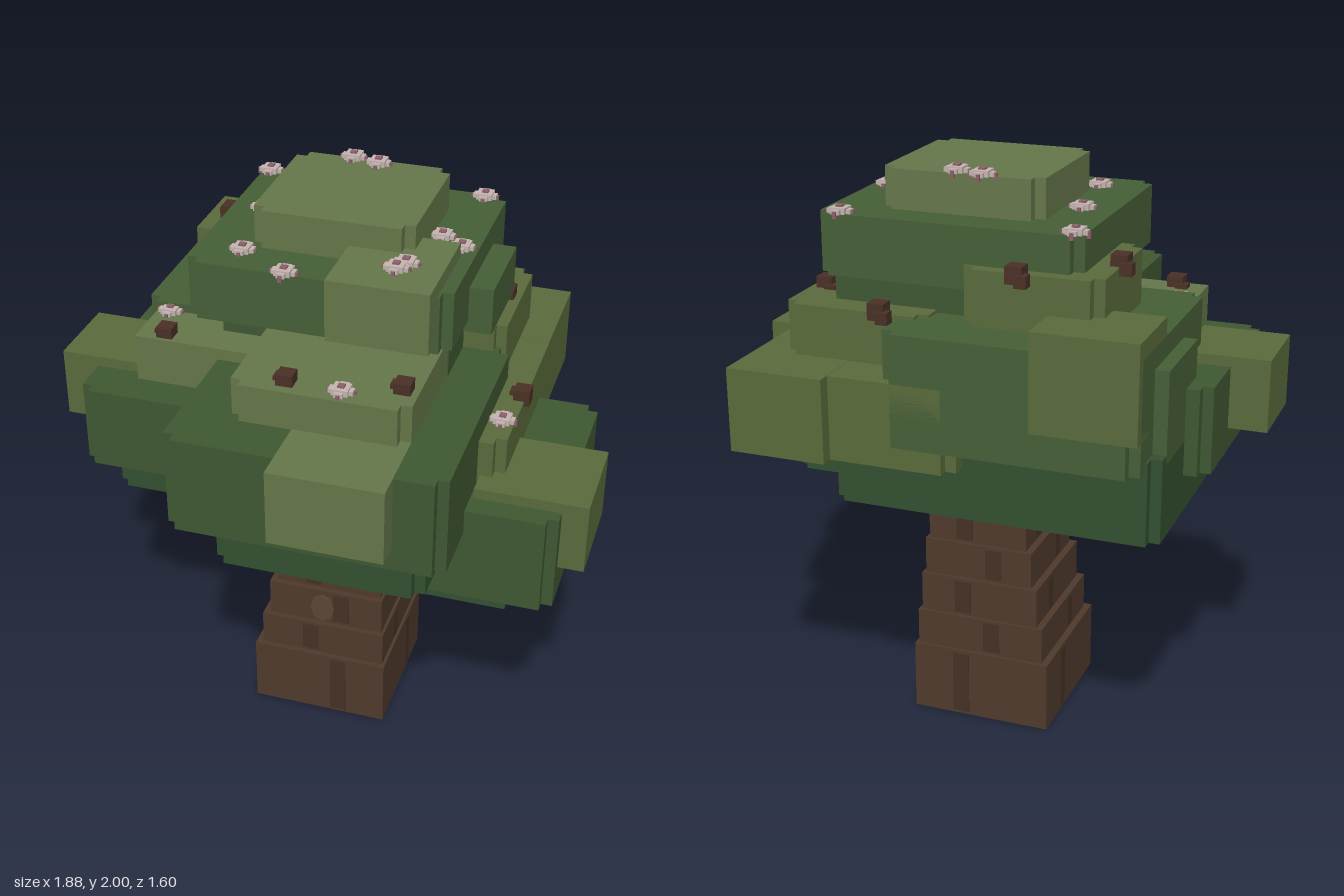
import * as THREE from 'three';

const mats = {};
const mat = (c) => (mats[c] ??= new THREE.MeshStandardMaterial({ color: c, flatShading: true }));

const LIGHT = 0x66774a, OLIVE = 0x5a6b3c, GREEN = 0x465f37, MID = 0x3f5832, DARK = 0x33502f;
const BARK = 0x4f3a2b, BARK_DARK = 0x443125, TWIG = 0x4a3026, PETAL = 0xc4b4b0, HEART = 0x8e5f6a;
const NOTCH = 0.036;

function addMesh(parent, name, color, geo, x, y, z) {
  const mesh = new THREE.Mesh(geo, mat(color));
  mesh.name = name;
  mesh.position.set(x, y, z);
  parent.add(mesh);
  return mesh;
}

// Plain block between two limits on each axis
function block(parent, name, color, x0, x1, y0, y1, z0, z1) {
  const geo = new THREE.BoxGeometry(x1 - x0, y1 - y0, z1 - z0);
  return addMesh(parent, name, color, geo, (x0 + x1) / 2, (y0 + y1) / 2, (z0 + z1) / 2);
}

// Leaf mass: a block whose four upright corners step inwards
function mass(parent, name, color, x0, x1, y0, y1, z0, z1) {
  const w = (x1 - x0) / 2, d = (z1 - z0) / 2;
  const shape = new THREE.Shape();
  for (const [sx, sz] of [[1, -1], [1, 1], [-1, 1], [-1, -1]]) {
    const corner = [[w - NOTCH, d], [w - NOTCH, d - NOTCH], [w, d - NOTCH]];
    if (sx === sz) corner.reverse();
    corner.forEach(([x, z], i) => {
      if (sx === 1 && sz === -1 && i === 0) shape.moveTo(x * sx, z * sz);
      else shape.lineTo(x * sx, z * sz);
    });
  }
  const geo = new THREE.ExtrudeGeometry(shape, { depth: y1 - y0, bevelEnabled: false });
  geo.rotateX(-Math.PI / 2);
  return addMesh(parent, name, color, geo, (x0 + x1) / 2, y0, (z0 + z1) / 2);
}

function group(parent, name) {
  const g = new THREE.Group();
  g.name = name;
  parent.add(g);
  return g;
}

// Trunk of shrinking tiers, with darker bark strips, limb stubs and a knot
function addTrunk(model) {
  const g = group(model, 'trunk');
  const levels = [0, 0.25, 0.38, 0.52, 0.65, 0.89];
  for (let i = 0; i < 5; i++) {
    const x0 = -0.27 + 0.024 * i, x1 = 0.225 - 0.011 * i;
    const z0 = -0.335 + 0.012 * i, z1 = 0.165 - 0.02 * i;
    const y0 = levels[i], y1 = levels[i + 1], e = 0.002;
    block(g, 'trunkTier', BARK, x0, x1, y0, y1, z0, z1);
    const sx = i % 2 ? -0.09 : 0.02, sz = i % 2 ? -0.05 : -0.19;
    block(g, 'barkStrip', BARK_DARK, sx, sx + 0.06, y0 + 0.01, y1 - 0.01, z0 - e, z1 + e);
    block(g, 'barkStrip', BARK_DARK, x0 - e, x1 + e, y0 + 0.01, y1 - 0.01, sz, sz + 0.05);
  }
  block(g, 'trunkTop', BARK, -0.1, 0.16, 0.89, 1, -0.26, 0.06);
  block(g, 'leftLimb', BARK, 0.15, 0.225, 0.76, 0.86, -0.1, 0.04);
  block(g, 'rightLimb', BARK, -0.25, -0.1, 0.86, 1, -0.12, 0);

  const knotGeo = new THREE.CylinderGeometry(0.045, 0.045, 0.02, 8);
  knotGeo.rotateX(Math.PI / 2).scale(1, 1.3, 1);
  addMesh(g, 'knot', 0x5c4635, knotGeo, -0.02, 0.445, 0.122);
}

function addLowerLeaves(foliage) {
  const g = group(foliage, 'lowerLeaves');
  mass(g, 'lowestMass', DARK, 0.105, 0.73, 0.8, 1, -0.2, 0.38);
  mass(g, 'undersideBack', DARK, -0.735, 0.35, 0.925, 1.2, -0.67, 0.25);
  mass(g, 'undersideFront', DARK, -0.23, 0.475, 0.965, 1.2, -0.05, 0.625);
  mass(g, 'leftMass', MID, 0.1, 0.855, 0.885, 1.22, -0.29, 0.46);
  block(g, 'leftLobe', OLIVE, 0.57, 0.94, 1.01, 1.255, 0.04, 0.38);
  mass(g, 'rightMass', MID, -0.815, -0.1, 1.055, 1.345, -0.38, 0.33);
  block(g, 'rightLobe', OLIVE, -0.945, -0.64, 1.135, 1.38, -0.13, 0.165);
}

function addMiddleLeaves(foliage) {
  const g = group(foliage, 'middleLeaves');
  mass(g, 'backLeftMass', OLIVE, -0.1, 0.645, 1.1, 1.38, -0.755, 0.3);
  block(g, 'backLeftLobe', OLIVE, 0.315, 0.645, 1.1, 1.381, -0.8, -0.4);
  mass(g, 'backMass', GREEN, -0.69, 0.14, 1.17, 1.54, -0.755, 0);
  block(g, 'backRightLobe', OLIVE, -0.69, -0.35, 1.28, 1.6, -0.757, -0.47);
  block(g, 'backRightSide', GREEN, -0.735, -0.5, 1.17, 1.47, -0.59, -0.26);
  mass(g, 'frontMass', MID, -0.355, 0.56, 1.135, 1.47, -0.155, 0.715);
  block(g, 'frontLobe', LIGHT, 0.02, 0.395, 1.215, 1.472, 0.5, 0.8);
}

function addUpperLeaves(foliage) {
  const g = group(foliage, 'upperLeaves');
  block(g, 'rightShelf', LIGHT, -0.65, -0.2, 1.3, 1.51, -0.1, 0.205);
  mass(g, 'frontShelf', LIGHT, -0.19, 0.395, 1.42, 1.6, -0.05, 0.545);
  mass(g, 'leftShelf', OLIVE, 0.05, 0.54, 1.33, 1.55, -0.6, -0.125);
  mass(g, 'backShelf', OLIVE, -0.52, -0.065, 1.5, 1.72, -0.59, -0.13);
  block(g, 'core', MID, -0.38, 0.4, 1.2, 1.66, -0.5, 0.08);
  mass(g, 'upperMass', GREEN, -0.44, 0.44, 1.64, 1.84, -0.545, 0.245);
  block(g, 'upperLeftLobe', GREEN, 0.3, 0.52, 1.6, 1.76, -0.335, 0);
  block(g, 'upperFrontLobe', LIGHT, 0.06, 0.395, 1.68, 1.89, -0.045, 0.335);
  mass(g, 'crown', LIGHT, -0.27, 0.27, 1.82, 1.97, -0.42, 0.083);
}

// Flower: diamond of stepped petals round a small heart
function addFlower(parent, x, y, z) {
  const g = group(parent, 'flower');
  g.position.set(x, y, z);
  const slab = (name, color, w, h, d) => block(g, name, color, -w, w, 0, h, -d, d);
  slab('petals', PETAL, 0.04, 0.014, 0.014);
  slab('petals', PETAL, 0.014, 0.015, 0.04);
  slab('petals', PETAL, 0.027, 0.02, 0.027);
  slab('flowerHeart', HEART, 0.011, 0.026, 0.011);
  for (let i = 0; i < 4; i++) {
    const a = (i * Math.PI) / 2;
    const tip = slab('petalTip', HEART, 0.006, 0.022, 0.006);
    tip.position.set(0.041 * Math.cos(a), 0, 0.041 * Math.sin(a));
  }
}

export function createModel() {
  const model = new THREE.Group();
  model.name = 'blockTree';
  addTrunk(model);
  const foliage = group(model, 'foliage');
  addLowerLeaves(foliage);
  addMiddleLeaves(foliage);
  addUpperLeaves(foliage);

  // Height of the highest leaf block over a ground point
  const boxes = [];
  foliage.traverse((o) => o.isMesh && boxes.push(new THREE.Box3().setFromObject(o)));
  const topAt = (x, z) => Math.max(...boxes
    .filter(({ min, max }) => x >= min.x && x <= max.x && z >= min.z && z <= max.z)
    .map((b) => b.max.y));

  // Flowers resting on the leaves
  const flowers = group(model, 'flowers');
  [
    [-0.41, -0.51], [-0.075, -0.415], [0.02, -0.39], [0.365, -0.52], [-0.33, -0.2],
    [0.305, -0.17], [0.385, -0.11], [-0.285, 0.12], [-0.105, 0.235], [0.27, 0.155],
    [0.25, 0.195], [-0.6, 0.01], [0.605, 0.155], [0.165, 0.49],
  ].forEach(([x, z]) => addFlower(flowers, x, topAt(x, z), z));

  // Twig stubs on the rims of the leaf blocks, each with a smaller offshoot
  const twigs = group(model, 'twigs');
  [
    [-0.26, -0.62], [-0.515, -0.38], [0.205, -0.6], [0.49, -0.38],
    [0.635, -0.01], [-0.55, 0.165], [-0.015, 0.485], [0.345, 0.425],
  ].forEach(([x, z]) => {
    const y = topAt(x * 0.93, z * 0.93) + 0.01;
    addMesh(twigs, 'twig', TWIG, new THREE.BoxGeometry(0.055, 0.055, 0.055), x, y, z);
    addMesh(twigs, 'twigOffshoot', TWIG, new THREE.BoxGeometry(0.04, 0.04, 0.04), x - 0.025, y - 0.015, z - 0.02);
  });
  return model;
}
